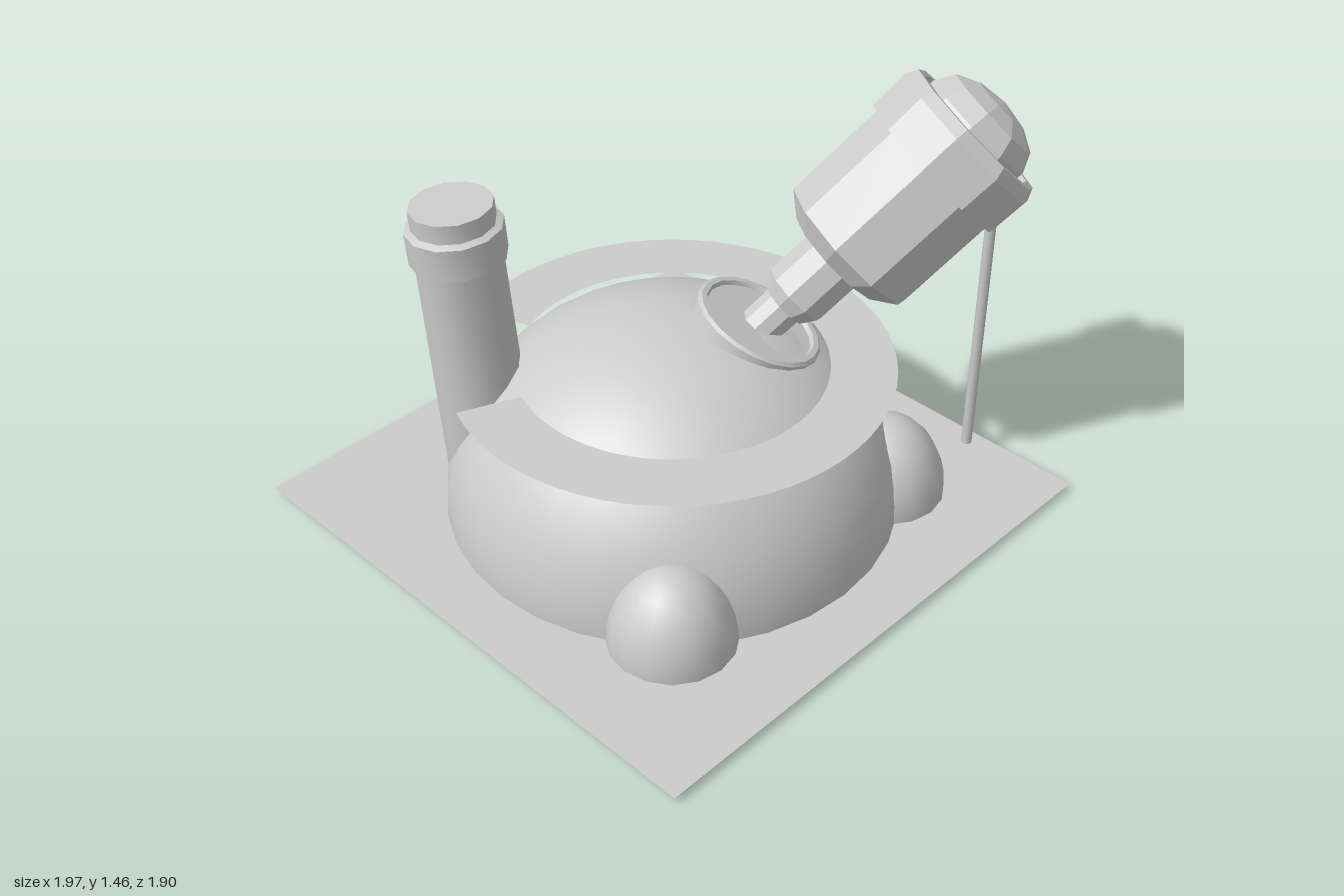
import * as THREE from 'three';
import { toCreasedNormals } from 'three/addons/utils/BufferGeometryUtils.js';

const FLOOR = 0.027;
const CX = -0.05;
const grey = new THREE.MeshStandardMaterial({ color: 0xcccccc });
const greyFlat = new THREE.MeshStandardMaterial({ color: 0xcccccc, flatShading: true });
const greyDouble = new THREE.MeshStandardMaterial({ color: 0xcccccc, side: THREE.DoubleSide });

// Turned part: profile of [radius, distance along axis], aimed along dir from origin point
function turned(name, profile, sides, origin, dir, material) {
  const pts = profile.map(([r, h]) => new THREE.Vector2(r, h));
  let geo = new THREE.LatheGeometry(pts, sides);
  if (!material.flatShading) geo = toCreasedNormals(geo, 0.6);
  const mesh = new THREE.Mesh(geo, material);
  mesh.name = name;
  mesh.position.set(...origin);
  mesh.quaternion.setFromUnitVectors(
    new THREE.Vector3(0, 1, 0), new THREE.Vector3(...dir).normalize());
  return mesh;
}

// Upper half of a sphere, stretched in height
function halfSphere(name, radius, height, segments, x, z) {
  const geo = new THREE.SphereGeometry(radius, segments, segments / 2, 0, Math.PI * 2, 0, Math.PI / 2);
  const mesh = new THREE.Mesh(geo, greyDouble);
  mesh.name = name;
  mesh.scale.y = height / radius;
  mesh.position.set(x, FLOOR, z);
  return mesh;
}

function flat(name, geo, y) {
  const mesh = new THREE.Mesh(geo.rotateX(-Math.PI / 2), greyDouble);
  mesh.name = name;
  mesh.position.set(CX, y, 0);
  return mesh;
}

export function createModel() {
  const model = new THREE.Group();
  model.name = 'domeStation';

  // Ground, main dome and the flat walkway with a gap for the chimney
  model.add(flat('ground', new THREE.PlaneGeometry(1.9, 1.9), FLOOR));
  model.add(halfSphere('mainDome', 0.758, 0.685, 32, CX, 0));
  model.add(flat('walkway', new THREE.RingGeometry(0.51, 0.724, 56, 1,
    Math.PI * 0.875, Math.PI * 1.75), 0.555));

  // Small domes at three of the diagonals
  for (const [sx, sz] of [[1, 1], [1, -1], [-1, 1]]) {
    model.add(halfSphere('sideDome', 0.207, 0.275, 16, CX + sx * 0.505, sz * 0.5));
  }

  // Leaning chimney with collar and cap
  model.add(turned('chimney', [
    [0, 0], [0.148, 0], [0.14, 0.94], [0.157, 0.94], [0.157, 1.05],
    [0.135, 1.06], [0.135, 1.125], [0, 1.125],
  ], 12, [-0.46, 0.012, -0.43], [-0.058, 1.12, -0.053], grey));

  // Raised socket ring with its floor, set into the dome
  model.add(turned('socket', [
    [0.215, -0.04], [0.22, 0.02], [0.21, 0.03], [0.192, 0.03], [0.185, 0.016], [0, 0.016],
  ], 20, [0.18, 0.648, 0.155], [0.34, 1, 0.33], grey));

  // Telescope: stem, neck, barrel, front band and domed lens
  const base = [0.19, 0.63, 0.15];
  const aim = [0.608, 0.69, 0.394];
  const addScope = (name, profile) =>
    model.add(turned(name, profile, 10, base, aim, greyFlat));
  addScope('stem', [[0, -0.03], [0.072, -0.03], [0.072, 0.15]]);
  addScope('neck', [[0, 0.12], [0.085, 0.12], [0.115, 0.17], [0.115, 0.35]]);
  addScope('barrel', [[0, 0.345], [0.18, 0.345], [0.257, 0.405], [0.257, 0.78]]);
  addScope('frontBand', [
    [0.25, 0.765], [0.278, 0.765], [0.282, 0.9], [0.262, 0.94],
    [0.232, 0.94], [0.222, 0.89], [0, 0.89],
  ]);
  addScope('lens', [[0.205, 0.89], [0.205, 0.95], [0.172, 1.01], [0.1, 1.045], [0, 1.06]]);

  // Upright post under the telescope
  const post = new THREE.Mesh(new THREE.CylinderGeometry(0.018, 0.018, 0.95, 10), grey);
  post.name = 'supportPost';
  post.position.set(0.808, 0.06 + 0.475, 0.582);
  model.add(post);

  return model;
}
